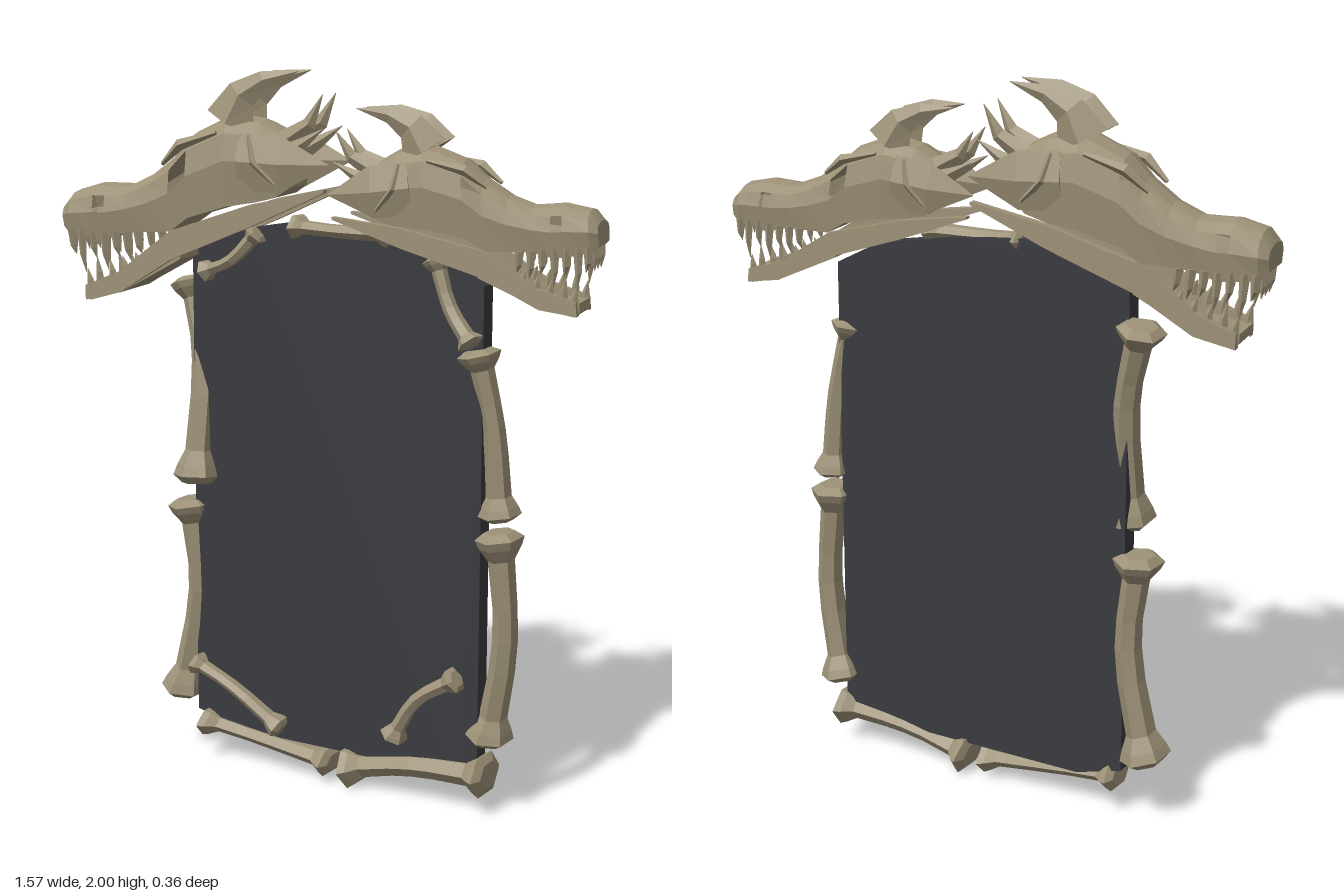
import * as THREE from 'three';

const boneMat = new THREE.MeshStandardMaterial({ color: 0x9e9278, flatShading: true, side: THREE.DoubleSide });
const panelMat = new THREE.MeshStandardMaterial({ color: 0x3a3b3f });
const V = (x, y, z) => new THREE.Vector3(x, y, z);

// Skin a list of rings, close both ends, leave out quads chosen by skip(i, j)
function loft(name, rings, skip = () => false) {
  const n = rings[0].length, pos = [];
  const tri = (...p) => p.forEach(v => pos.push(v.x, v.y, v.z));
  for (let i = 0; i < rings.length - 1; i++) {
    for (let j = 0; j < n; j++) {
      if (skip(i, j)) continue;
      const k = (j + 1) % n, a = rings[i], b = rings[i + 1];
      tri(a[j], a[k], b[k]);
      tri(a[j], b[k], b[j]);
    }
  }
  const s = rings[0], e = rings[rings.length - 1];
  for (let j = 1; j < n - 1; j++) {
    tri(s[0], s[j + 1], s[j]);
    tri(e[0], e[j], e[j + 1]);
  }
  const g = new THREE.BufferGeometry();
  g.setAttribute('position', new THREE.Float32BufferAttribute(pos, 3));
  g.computeVertexNormals();
  const mesh = new THREE.Mesh(g, boneMat);
  mesh.name = name;
  return mesh;
}

// Sweep a polygon along a curve with a radius at each parameter
function sweep(name, pts, ts, radii, sides, depth = 1, turn = 0) {
  const curve = new THREE.CatmullRomCurve3(pts);
  return loft(name, ts.map((t, i) => {
    const c = curve.getPoint(t), T = curve.getTangent(t);
    const N = T.clone().cross(V(0, 0, 1)).normalize(), B = T.clone().cross(N);
    return Array.from({ length: sides }, (_, j) => {
      const a = turn + j / sides * Math.PI * 2;
      return c.clone().addScaledVector(N, Math.cos(a) * radii[i]).addScaledVector(B, Math.sin(a) * radii[i] * depth);
    });
  }));
}

// Shaft with flared knuckles at both ends
function bone(name, pts, r, depth = 1.2) {
  const ts = [0, 0.03, 0.07, 0.13, 0.35, 0.5, 0.65, 0.87, 0.93, 0.97, 1];
  const flare = [1.15, 1.85, 1.6, 1, 0.93, 0.96, 1, 1.08, 1.6, 1.85, 1.15];
  const mesh = sweep(name, pts.map(p => V(...p)), ts, flare.map(f => f * r), 6, 1, Math.PI / 6);
  mesh.geometry.computeBoundingBox();
  const z = mesh.geometry.boundingBox.getCenter(V(0, 0, 0)).z;
  mesh.geometry.translate(0, 0, -z).scale(1, 1, depth).translate(0, 0, z);
  return mesh;
}

const spike = (name, pts, radii, depth = 0.7) =>
  sweep(name, pts.map(p => V(...p)), radii.map((_, i) => i / (radii.length - 1)), radii, 4, depth);

// Head in its own frame: snout along +x, y up
function head(name) {
  const g = new THREE.Group();
  g.name = name;

  // Skull: [x, bottom, top, half width], with open eyes, nostrils and temples
  const skull = [
    [0.1, 1.69, 1.82, 0.075], [0.135, 1.665, 1.845, 0.09], [0.19, 1.65, 1.87, 0.1], [0.28, 1.635, 1.885, 0.108],
    [0.395, 1.6, 1.83, 0.1], [0.45, 1.56, 1.77, 0.094], [0.52, 1.555, 1.715, 0.09], [0.59, 1.55, 1.682, 0.088],
    [0.65, 1.53, 1.682, 0.09], [0.685, 1.53, 1.682, 0.092], [0.76, 1.54, 1.66, 0.09], [0.785, 1.56, 1.625, 0.075]];
  const side = [[0.95, 0.5], [0.8, 0.88], [0.5, 1], [0, 0.85]];
  const outline = [[1, 0], ...side, ...side.map(([f, w]) => [f, -w]).reverse()];
  g.add(loft('skull', skull.map(([x, lo, hi, w]) => outline.map(([f, k]) => V(x, lo + f * (hi - lo), k * w))),
    (i, j) => [1, 4, 8].includes(i) && (j === 2 || j === 6)));

  // Chin plate joining the two halves of the lower jaw
  const chin = [[0.42, 1.485, 1.51, 0.08], [0.6, 1.385, 1.41, 0.08], [0.7, 1.357, 1.395, 0.08], [0.715, 1.37, 1.395, 0.065]];
  g.add(loft('chin', chin.map(([x, lo, hi, w]) => [V(x, hi, -w), V(x, hi, w), V(x, lo, w), V(x, lo, -w)])));

  const jaw = [[-0.01, 1.682, 1.69, 0.085], [0.2, 1.585, 1.645, 0.092], [0.44, 1.485, 1.565, 0.086],
    [0.6, 1.385, 1.445, 0.082], [0.71, 1.358, 1.4, 0.075]];
  const upperTeeth = [[0.755, 0.05], [0.725, 0.1], [0.69, 0.06], [0.655, 0.09], [0.62, 0.05], [0.585, 0.06], [0.55, 0.04]];
  const lowerTeeth = [[0.7, 0.06], [0.67, 0.09], [0.63, 0.06], [0.59, 0.05], [0.55, 0.04]];

  for (const s of [1, -1]) {
    g.add(loft('jawSide', jaw.map(([x, lo, hi, w]) => {
      const a = s * w - 0.014, b = s * w + 0.014;
      return [V(x, hi, a), V(x, hi, b), V(x, lo, b), V(x, lo, a)];
    })));
    // Cheek frill running back to a point
    g.add(spike('cheekFrill', [[0.24, 1.76, s * 0.088], [0.12, 1.755, s * 0.09], [-0.02, 1.755, s * 0.085]],
      [0.08, 0.078, 0.002], 0.28));
    // Raised rim in front of the temple opening
    g.add(spike('templeRim', [[0.21, 1.83, s * 0.09], [0.19, 1.76, s * 0.106], [0.13, 1.7, s * 0.1]], [0.006, 0.014, 0.004], 1));
    g.add(spike('browRidge', [[0.47, 1.745, s * 0.08], [0.41, 1.8, s * 0.094], [0.3, 1.835, s * 0.098]], [0.006, 0.016, 0.006], 1));
    // Horns sweeping up and back
    g.add(spike('horn', [[0.28, 1.86, s * 0.045], [0.245, 1.935, s * 0.05], [0.18, 1.975, s * 0.05], [0.08, 2, s * 0.045]],
      [0.075, 0.045, 0.025, 0.001], 0.5));
    g.add(spike('rearHorn', [[0.14, 1.8, s * 0.04], [0.05, 1.86, s * 0.045], [0.01, 1.94, s * 0.05]], [0.035, 0.02, 0.001]));
    g.add(spike('neckSpike', [[0.13, 1.77, s * 0.065], [0.06, 1.81, s * 0.07], [0.0, 1.85, s * 0.072]], [0.03, 0.016, 0.001]));
    for (const [x, h] of upperTeeth)
      g.add(spike('upperTooth', [[x, 1.555, s * 0.074], [x - 0.004, 1.535 - h / 2, s * 0.076], [x - 0.012, 1.535 - h, s * 0.074]],
        [0.015, 0.01, 0.001], 1));
    for (const [x, h] of lowerTeeth) {
      const y = 1.385 + Math.max(0, 0.68 - x) * 0.55;
      g.add(spike('lowerTooth', [[x, y, s * 0.07], [x + 0.004, y + h / 2, s * 0.07], [x + 0.012, y + h, s * 0.068]],
        [0.014, 0.01, 0.001], 1));
    }
  }
  // Front teeth
  for (const z of [-0.04, 0, 0.04])
    g.add(spike('frontTooth', [[0.765, 1.56, z], [0.765, 1.52, z], [0.76, 1.485, z]], [0.014, 0.01, 0.001], 1));
  return g;
}

export function createModel() {
  const model = new THREE.Group();
  model.name = 'dragonFrame';

  // Dark panel
  const shape = new THREE.Shape([[-0.44, 0.14], [-0.3, 0.1], [0.42, 0.1], [0.48, 0.15], [0.48, 1.46], [0.34, 1.53],
    [0.1, 1.57], [-0.12, 1.59], [-0.24, 1.57], [-0.44, 1.5]].map(p => new THREE.Vector2(...p)));
  const panel = new THREE.Mesh(new THREE.ExtrudeGeometry(shape, { depth: 0.05, bevelEnabled: false }), panelMat);
  panel.position.z = -0.067;
  panel.name = 'panel';
  model.add(panel);

  // Long bones down the sides and along the bottom
  model.add(
    bone('upperBoneRight', [[-0.49, 1.41, -0.08], [-0.43, 1.18, -0.05], [-0.42, 0.83, 0]], 0.035),
    bone('lowerBoneRight', [[-0.47, 0.77, -0.04], [-0.445, 0.5, -0.045], [-0.505, 0.17, -0.04]], 0.036, 1.3),
    bone('upperBoneLeft', [[0.46, 1.29, -0.03], [0.5, 1.08, -0.045], [0.52, 0.83, -0.05]], 0.03, 1.3),
    bone('lowerBoneLeft', [[0.52, 0.8, -0.05], [0.54, 0.5, -0.055], [0.495, 0.2, -0.055]], 0.034, 1.3),
    bone('bottomBoneRight', [[-0.42, 0.11, -0.03], [-0.2, 0.085, -0.03], [0.02, 0.06, -0.03]], 0.024, 1.7),
    bone('bottomBoneLeft', [[0.06, 0.055, -0.035], [0.28, 0.1, -0.035], [0.51, 0.115, -0.035]], 0.034, 1.4),
    // Small bones across the corners and top
    bone('topCornerBoneRight', [[-0.39, 1.44, 0.0], [-0.29, 1.48, 0.01], [-0.21, 1.56, 0.0]], 0.018),
    bone('topBone', [[-0.11, 1.58, -0.03], [0.04, 1.575, -0.025], [0.2, 1.575, -0.03]], 0.02, 1.5),
    bone('topCornerBoneLeft', [[0.35, 1.53, 0.01], [0.4, 1.4, 0.02], [0.475, 1.31, 0.035]], 0.02),
    bone('bottomCornerBoneRight', [[-0.44, 0.29, 0], [-0.3, 0.24, 0.01], [-0.14, 0.135, 0]], 0.019),
    bone('bottomCornerBoneLeft', [[0.23, 0.185, 0.01], [0.31, 0.31, 0.015], [0.43, 0.39, 0.01]], 0.021));

  // Two heads facing outwards
  const right = head('headRight');
  right.position.z = -0.05;
  right.rotation.y = Math.PI + 0.18;
  const left = head('headLeft');
  left.scale.setScalar(0.885);
  left.position.set(0.224, 0.141, -0.006);
  left.rotation.set(0, 0.19, 0.096);
  model.add(right, left);
  return model;
}
